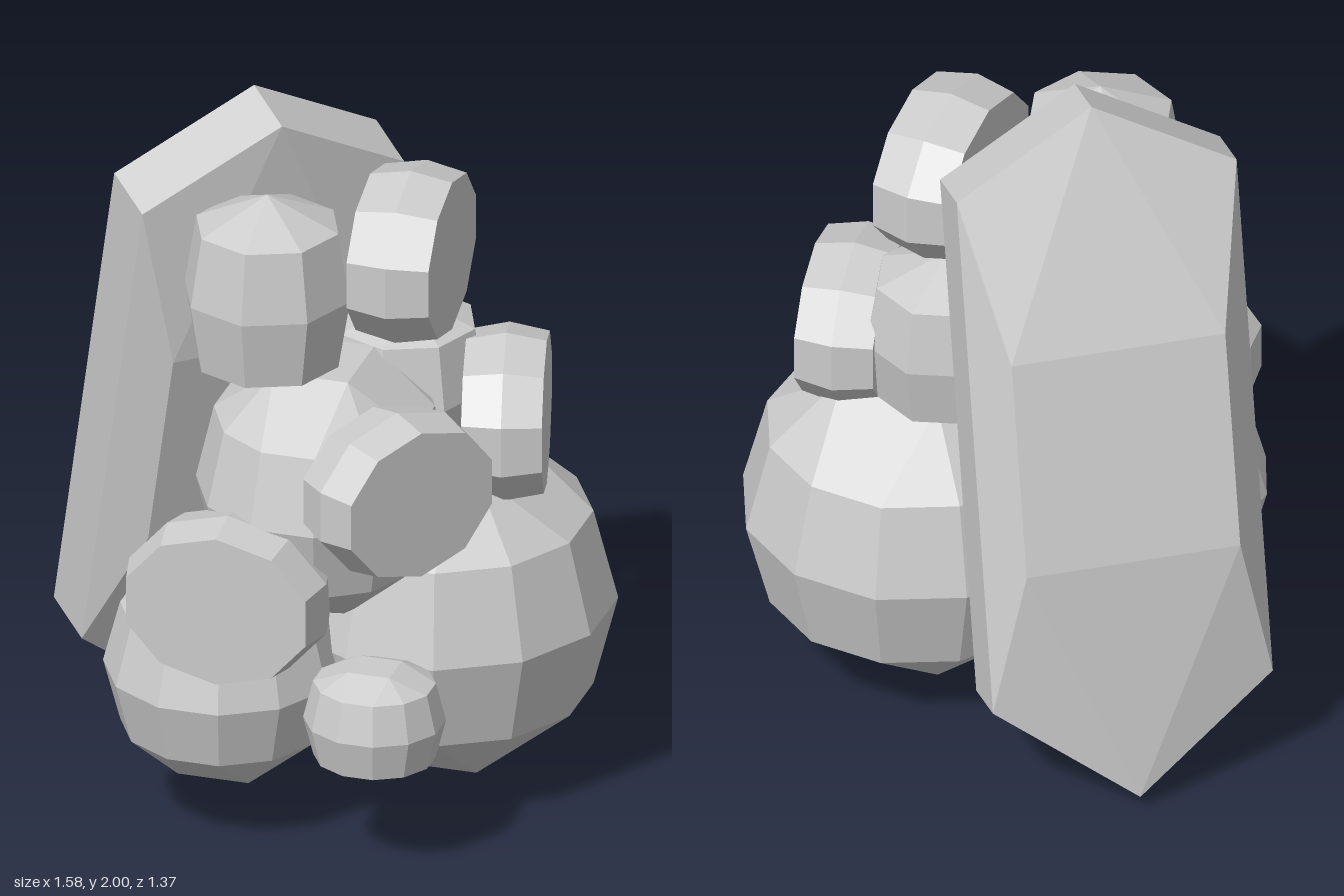
import * as THREE from 'three';
import { ConvexGeometry } from 'three/addons/geometries/ConvexGeometry.js';

function hull(name, points, position) {
  const material = new THREE.MeshStandardMaterial({ color: 0xcccccc, flatShading: true });
  const mesh = new THREE.Mesh(new ConvexGeometry(points), material);
  mesh.name = name;
  mesh.position.set(...position);
  return mesh;
}

// Points of an elliptical ring; the offset turns it by a share of one step
function ringPoints(sides, rx, rz, y, offset) {
  return Array.from({ length: sides }, (_, i) => {
    const a = ((i + offset) / sides) * Math.PI * 2;
    return new THREE.Vector3(Math.sin(a) * rx, y, Math.cos(a) * rz);
  });
}

// Faceted stone: a waist ring, two shoulder rings at +-ring and small caps at top and bottom.
// A cap at shoulder height is left out, which makes that end flat.
function stone(name, position, { rx, rz, ring, top = ring, bottom = ring, sides = 12, shoulder = 0.86 }) {
  const offset = sides === 12 ? 0.5 : 0;
  const capRadius = sides === 12 ? 0.43 : 0;
  const points = [
    ...ringPoints(sides, rx, rz, 0, offset),
    ...ringPoints(sides, rx * shoulder, rz * shoulder, ring, offset),
    ...ringPoints(sides, rx * shoulder, rz * shoulder, -ring, offset)
  ];
  for (const y of [top, -bottom]) {
    if (Math.abs(y) > ring) points.push(...ringPoints(capRadius ? 4 : 1, rx * capRadius, rz * capRadius, y, 0.5));
  }
  return hull(name, points, position);
}

// Flat ten-sided stone standing on its rim, its axis turned by yaw from +z
function disc(name, position, yaw, rx, ry, halfThickness) {
  const mesh = stone(name, position, { rx, rz: ry, ring: halfThickness, sides: 10, shoulder: 0.91 });
  mesh.rotation.set(Math.PI / 2, yaw, 0, 'YXZ');
  return mesh;
}

// Leaning slab with pointed ends and a raised panel on both broad faces
function slab() {
  const half = 0.0925, raised = 0.2125;
  const points = [];
  for (const side of [1, -1]) {
    points.push(new THREE.Vector3(0, 1.007, side * half), new THREE.Vector3(0, -1.012, side * half));
    for (const x of [1, -1]) {
      for (const y of [0.79, -0.705]) points.push(new THREE.Vector3(x * 0.393, y, side * half));
      for (const y of [0.34, -0.28]) points.push(new THREE.Vector3(x * 0.3, y, side * raised));
    }
  }
  const mesh = hull('leaningSlab', points, [-0.315, 1.005, -0.225]);
  // Width, length and thickness directions
  const u = new THREE.Vector3(0.735, 0, -0.678).normalize();
  const v = new THREE.Vector3(0.175, 0.966, 0.19);
  const n = new THREE.Vector3().crossVectors(u, v).normalize();
  v.crossVectors(n, u);
  mesh.quaternion.setFromRotationMatrix(new THREE.Matrix4().makeBasis(u, v, n));
  return mesh;
}

export function createModel() {
  const group = new THREE.Group();
  group.name = 'stoneCluster';
  group.add(
    slab(),
    // Rounded stones, from the ground up
    stone('largeBaseStone', [0.325, 0.53, -0.13], { rx: 0.48, rz: 0.485, ring: 0.26, top: 0.45, bottom: 0.45 }),
    stone('frontBaseStone', [-0.15, 0.465, 0.32], { rx: 0.33, rz: 0.345, ring: 0.175, top: 0.3, bottom: 0.305 }),
    stone('smallFrontStone', [0.33, 0.44, 0.49], { rx: 0.195, rz: 0.185, ring: 0.11, top: 0.155 }),
    stone('middleStone', [0.08, 0.98, 0.15], { rx: 0.345, rz: 0.4, ring: 0.21, top: 0.35, bottom: 0.35 }),
    stone('rearStone', [0.215, 1.15, -0.155], { rx: 0.23, rz: 0.235, ring: 0.18, top: 0.26, bottom: 0.26, sides: 8 }),
    stone('topStone', [-0.065, 1.54, 0.205], { rx: 0.235, rz: 0.235, ring: 0.2, top: 0.29, sides: 8 }),
    // Flat round stones
    disc('frontDisc', [-0.075, 0.77, 0.53], 0, 0.295, 0.24, 0.11),
    disc('frontSideDisc', [0.375, 1.1, 0.425], 0.96, 0.278, 0.236, 0.107),
    disc('rearSideDisc', [0.505, 1.1, -0.145], 1.82, 0.28, 0.236, 0.11),
    disc('topDisc', [0.27, 1.6, -0.03], 1.62, 0.293, 0.242, 0.115)
  );
  return group;
}
